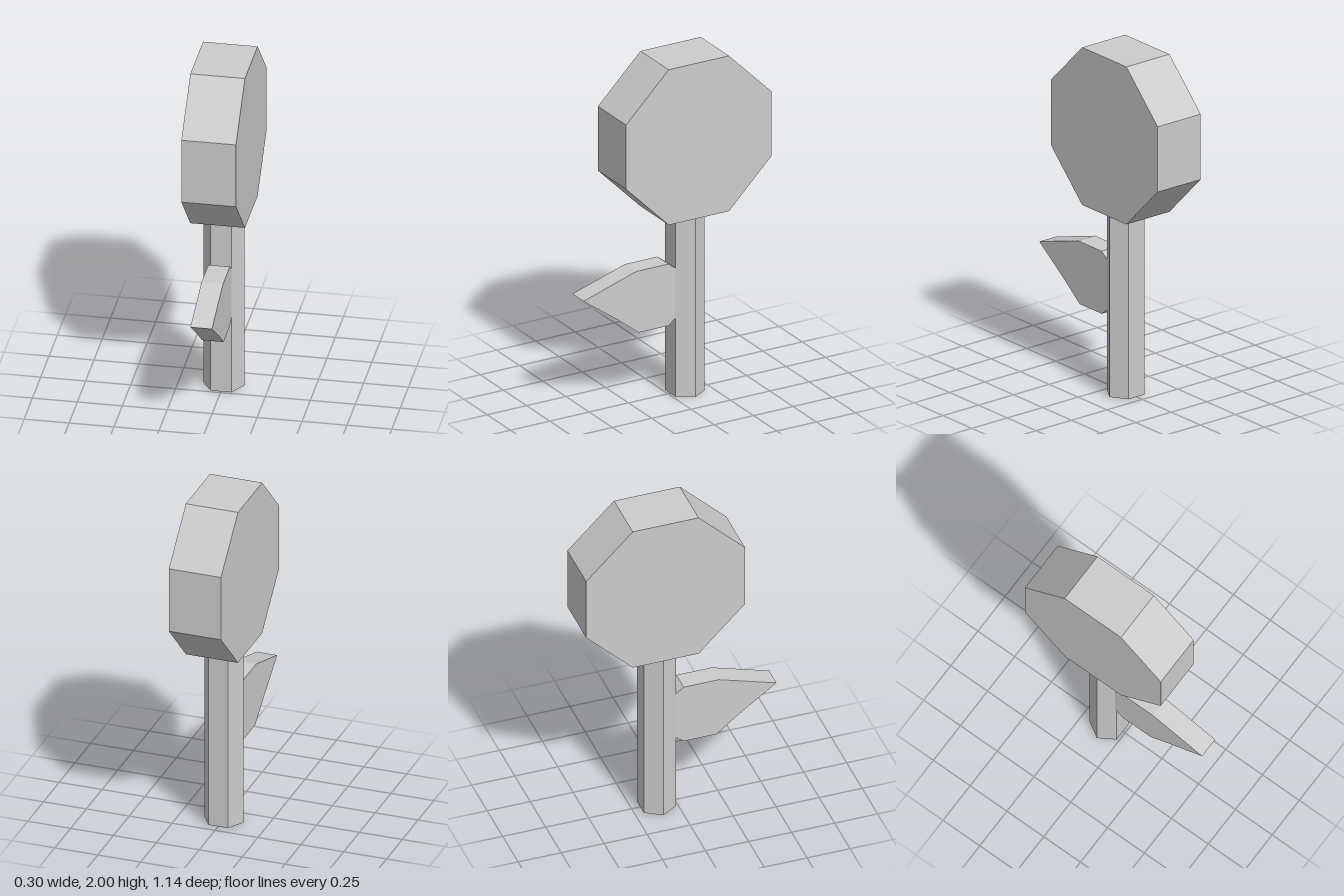
import * as THREE from 'three';

export function createModel() {
  const group = new THREE.Group();
  const material = new THREE.MeshStandardMaterial({ color: 0xcccccc, flatShading: true });
  const axisZ = -0.107; // stem and head share this depth

  const add = (name, geometry, x, y, z) => {
    const mesh = new THREE.Mesh(geometry, material);
    mesh.name = name;
    mesh.position.set(x, y, z);
    group.add(mesh);
    return mesh;
  };

  // Six-sided stem with corners to the left and right
  const stemHeight = 1.08;
  const stem = new THREE.CylinderGeometry(0.115, 0.115, stemHeight, 6, 1, false, Math.PI / 2);
  stem.scale(1, 1, 0.93);
  add('stem', stem, 0, stemHeight / 2, axisZ);

  // Octagonal head: a disc lying along x, resting on a flat side
  const head = new THREE.CylinderGeometry(0.5, 0.5, 0.304, 8, 1, false, Math.PI / 8);
  head.rotateZ(Math.PI / 2);
  add('flowerHead', head, 0, 1.54, axisZ);

  // Pointed leaf: side outline as (z, y), rooted inside the stem
  const outline = [
    [0.57, 0.695], [0.235, 0.8], [0.03, 0.8], [-0.1, 0.7],
    [-0.1, 0.535], [0.03, 0.433], [0.22, 0.433], [0.35, 0.535],
  ];
  const leafWidth = 0.12;
  const leaf = new THREE.ExtrudeGeometry(
    new THREE.Shape(outline.map(([z, y]) => new THREE.Vector2(z, y))),
    { depth: leafWidth, bevelEnabled: false },
  );
  leaf.translate(0, 0, -leafWidth / 2);
  leaf.rotateY(-Math.PI / 2);
  add('leaf', leaf, -0.002, 0, 0);

  return group;
}
